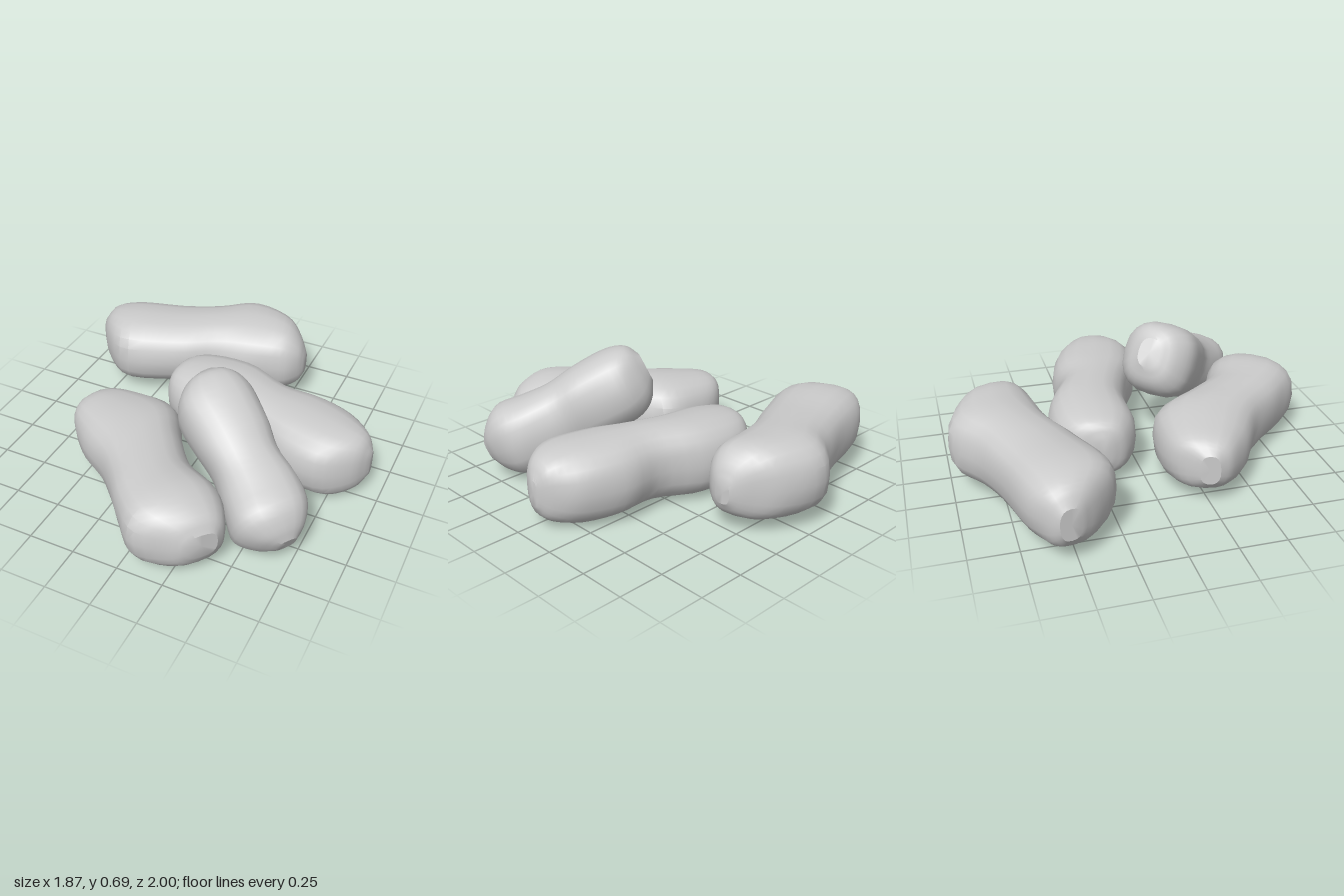
import * as THREE from 'three';
import { mergeVertices, toCreasedNormals } from 'three/addons/utils/BufferGeometryUtils.js';

const SIDES = 20, RINGS = 30;

// Loft a waisted boulder; each station is [frontX, frontZ, backX, backZ, bottomY, topY]
function boulderGeometry(stations, seed) {
  const front = new THREE.CatmullRomCurve3(stations.map(s => new THREE.Vector3(s[0], s[4], s[1])));
  const back = new THREE.CatmullRomCurve3(stations.map(s => new THREE.Vector3(s[2], s[5], s[3])));
  const pos = [], index = [];
  const centres = [];
  for (let i = 0; i <= RINGS; i++) {
    const a = front.getPoint(i / RINGS), b = back.getPoint(i / RINGS);
    const c = a.clone().add(b).multiplyScalar(0.5);
    centres.push(c);
    for (let j = 0; j < SIDES; j++) {
      const t = (j / SIDES) * Math.PI * 2;
      // squarish section with gentle lumps
      const round = v => Math.sign(v) * Math.abs(v) ** 0.76;
      const lump = 1 + 0.02 * Math.sin(3 * t + seed + i * 0.35) * Math.sin(i * 0.55 + seed * 2);
      const w = round(Math.cos(t)) * lump, h = round(Math.sin(t));
      pos.push(c.x + (b.x - a.x) / 2 * w, c.y + (b.y - a.y) / 2 * h, c.z + (b.z - a.z) / 2 * w);
    }
  }
  for (let i = 0; i < RINGS; i++) for (let j = 0; j < SIDES; j++) {
    const k = (j + 1) % SIDES, p = i * SIDES, q = p + SIDES;
    index.push(p + j, p + k, q + j, p + k, q + k, q + j);
  }
  // flat end facets
  const first = pos.length / 3, last = first + 1, end = RINGS * SIDES;
  pos.push(...centres[0].toArray(), ...centres[RINGS].toArray());
  for (let j = 0; j < SIDES; j++) {
    const k = (j + 1) % SIDES;
    index.push(first, k, j, last, end + j, end + k);
  }
  const g = new THREE.BufferGeometry();
  g.setAttribute('position', new THREE.Float32BufferAttribute(pos, 3));
  g.setIndex(index);
  return toCreasedNormals(mergeVertices(g), 0.5);
}

const BACK = [
  [-0.92, -0.48, -0.94, -0.59, 0.15, 0.32],
  [-0.84, -0.38, -0.89, -0.65, 0.08, 0.40],
  [-0.67, -0.26, -0.78, -0.72, 0.05, 0.44],
  [-0.36, -0.36, -0.50, -0.80, 0.05, 0.44],
  [-0.15, -0.46, -0.30, -0.88, 0.05, 0.45],
  [0.05, -0.50, -0.12, -1.00, 0.05, 0.46],
  [0.23, -0.55, 0.13, -0.93, 0.07, 0.45],
  [0.30, -0.62, 0.25, -0.82, 0.12, 0.38],
  [0.32, -0.67, 0.31, -0.75, 0.18, 0.30],
];
const MIDDLE = [
  [-0.31, -0.19, -0.30, -0.27, 0.13, 0.28],
  [-0.28, -0.10, -0.25, -0.38, 0.06, 0.36],
  [-0.15, -0.02, -0.15, -0.45, 0.02, 0.39],
  [0.12, 0.00, 0.10, -0.45, 0.01, 0.41],
  [0.33, 0.06, 0.36, -0.33, 0.02, 0.41],
  [0.50, 0.15, 0.57, -0.33, 0.01, 0.41],
  [0.72, 0.18, 0.78, -0.25, 0.01, 0.40],
  [0.87, 0.08, 0.89, -0.15, 0.06, 0.36],
  [0.93, -0.02, 0.93, -0.08, 0.14, 0.28],
];
const FRONT = [
  [-0.65, 0.28, -0.62, 0.18, 0.14, 0.30],
  [-0.62, 0.36, -0.51, 0.08, 0.08, 0.36],
  [-0.50, 0.48, -0.32, 0.05, 0.03, 0.39],
  [-0.32, 0.60, -0.13, 0.09, 0.01, 0.41],
  [-0.20, 0.71, 0.00, 0.28, 0.01, 0.41],
  [-0.07, 0.86, 0.14, 0.46, 0.01, 0.41],
  [0.08, 0.99, 0.35, 0.57, 0.01, 0.41],
  [0.26, 0.96, 0.45, 0.72, 0.06, 0.35],
  [0.34, 0.93, 0.45, 0.80, 0.14, 0.28],
];
const LEANING = [
  [-0.47, 0.05, -0.48, -0.07, -0.06, 0.10],
  [-0.43, 0.13, -0.42, -0.15, -0.15, 0.17],
  [-0.33, 0.20, -0.33, -0.20, -0.20, 0.20],
  [-0.12, 0.19, -0.12, -0.20, -0.20, 0.20],
  [0.05, 0.17, 0.03, -0.18, -0.19, 0.18],
  [0.20, 0.19, 0.20, -0.20, -0.20, 0.19],
  [0.35, 0.21, 0.35, -0.19, -0.20, 0.20],
  [0.44, 0.14, 0.44, -0.13, -0.13, 0.14],
  [0.49, 0.05, 0.49, -0.06, -0.05, 0.07],
];

export function createModel() {
  const group = new THREE.Group();
  group.name = 'rockPile';
  const material = new THREE.MeshStandardMaterial({ color: 0xcccccc });
  const add = (name, stations, seed) => {
    const mesh = new THREE.Mesh(boulderGeometry(stations, seed), material);
    mesh.name = name;
    group.add(mesh);
    return mesh;
  };
  add('backRock', BACK, 1);
  add('middleRock', MIDDLE, 2.3);
  add('frontRock', FRONT, 3.7);
  // leaning rock tips down toward the front left
  const leaning = add('leaningRock', LEANING, 5.1);
  leaning.rotation.set(0.12, -0.64, -0.46, 'YZX');
  leaning.position.set(0.37, 0.355, 0.365);
  return group;
}
